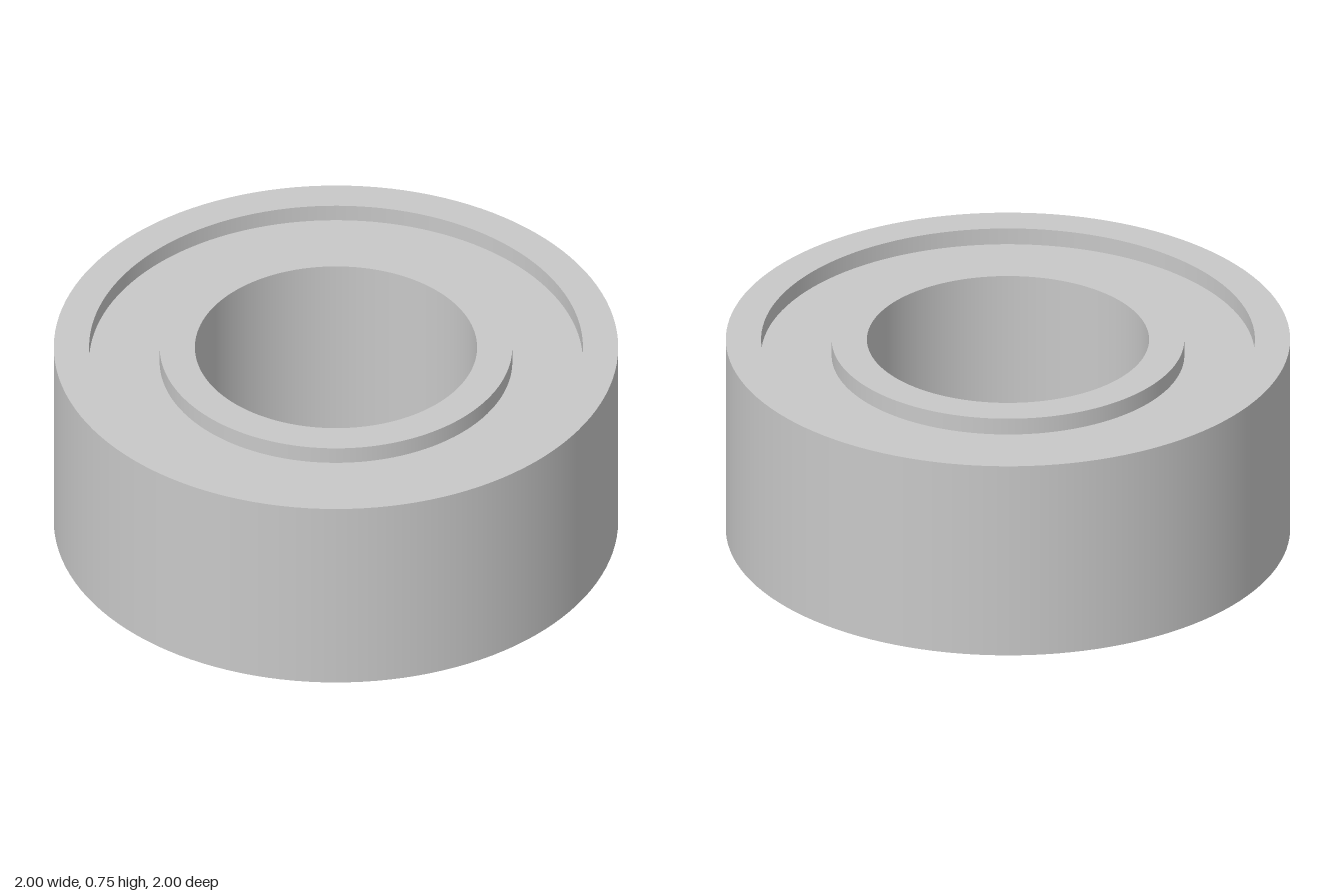
import * as THREE from 'three';
import { mergeGeometries } from 'three/addons/utils/BufferGeometryUtils.js';

const SEGMENTS = 128;
const HEIGHT = 0.75;
const RECESS = 0.0625;

// Revolves each profile edge on its own, so corners stay sharp and walls stay smooth.
function revolveEdges(edges) {
  return mergeGeometries(edges.map(([a, b]) =>
    new THREE.LatheGeometry([new THREE.Vector2(...a), new THREE.Vector2(...b)], SEGMENTS)));
}

// Rectangular ring; walls can be left out where it sits between other rings.
function ringGeometry(inner, outer, bottom, top, walls = true) {
  const edges = [
    [[outer, top], [inner, top]],
    [[inner, bottom], [outer, bottom]],
  ];
  if (walls) {
    edges.push([[outer, bottom], [outer, top]], [[inner, top], [inner, bottom]]);
  }
  return revolveEdges(edges);
}

export function createModel() {
  const group = new THREE.Group();
  group.name = 'ballBearing';
  const steel = new THREE.MeshStandardMaterial({ color: 0xc8c8c8 });
  steel.name = 'steel grey';

  const add = (name, geometry) => {
    const mesh = new THREE.Mesh(geometry, steel);
    mesh.name = name;
    group.add(mesh);
  };

  // Outer and inner races run the full height
  add('outerRace', ringGeometry(0.875, 1, 0, HEIGHT));
  add('innerRace', ringGeometry(0.5, 0.625, 0, HEIGHT));
  // Shield fills the gap, recessed on both sides
  add('shield', ringGeometry(0.625, 0.875, RECESS, HEIGHT - RECESS, false));

  return group;
}
